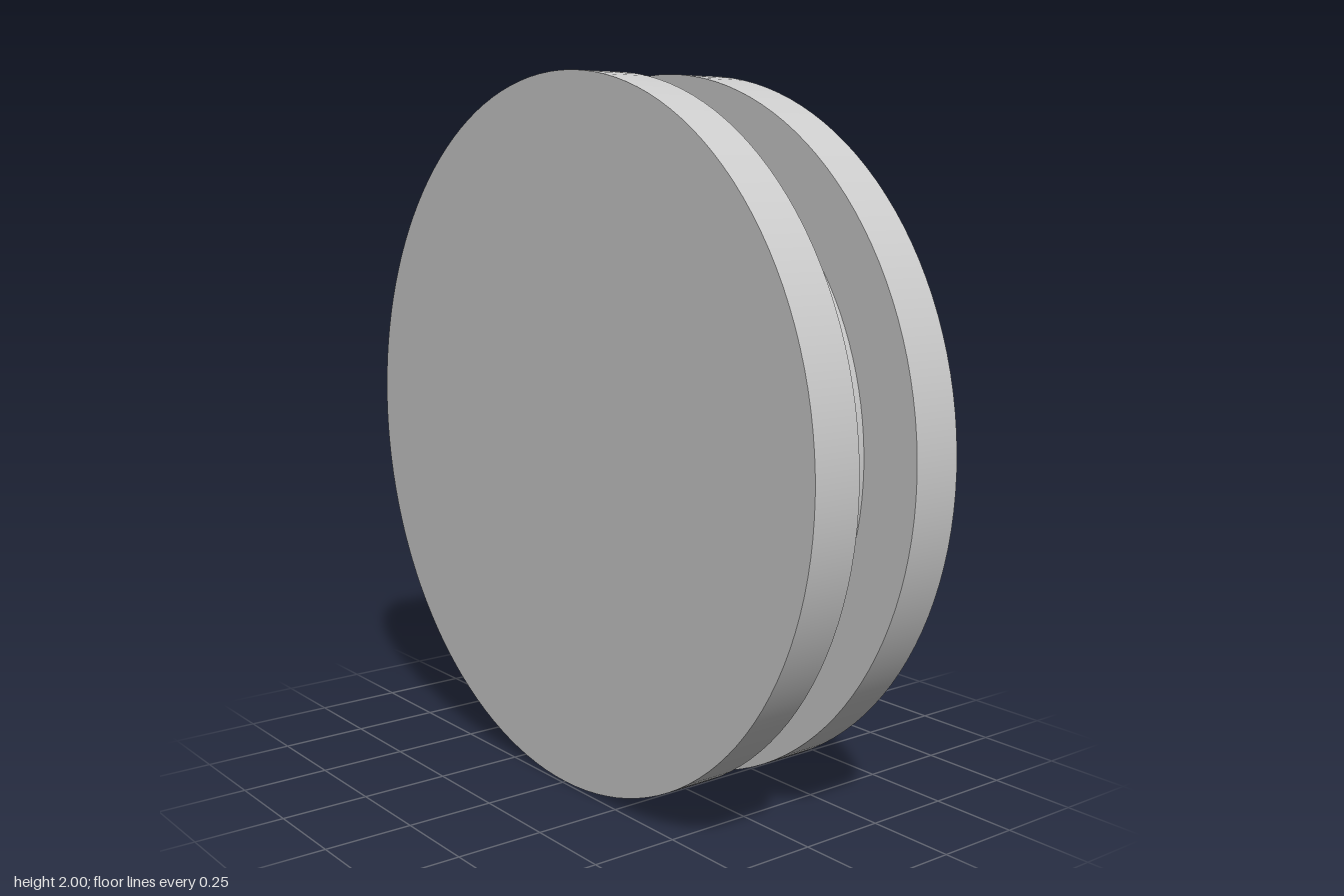
import * as THREE from 'three';

const SEGMENTS = 128;

export function createModel() {
  const model = new THREE.Group();
  const material = new THREE.MeshStandardMaterial({ color: 0xcccccc });

  const outerX = 0.241; // outer face of each flange
  const innerX = 0.098; // edge of the groove

  // Disc lying along the x axis, raised to the wheel centre
  function addDisc(name, radius, x0, x1, openEnded = false) {
    const geometry = new THREE.CylinderGeometry(radius, radius, x1 - x0, SEGMENTS, 1, openEnded);
    geometry.rotateZ(-Math.PI / 2);
    const mesh = new THREE.Mesh(geometry, material);
    mesh.name = name;
    mesh.position.set((x0 + x1) / 2, 1, 0);
    model.add(mesh);
  }

  // Two flanges with a narrower hub between them
  addDisc('leftFlange', 1, innerX, outerX);
  addDisc('rightFlange', 1, -outerX, -innerX);
  addDisc('hub', 0.823, -innerX, innerX, true); // ends are closed by the flanges

  return model;
}
